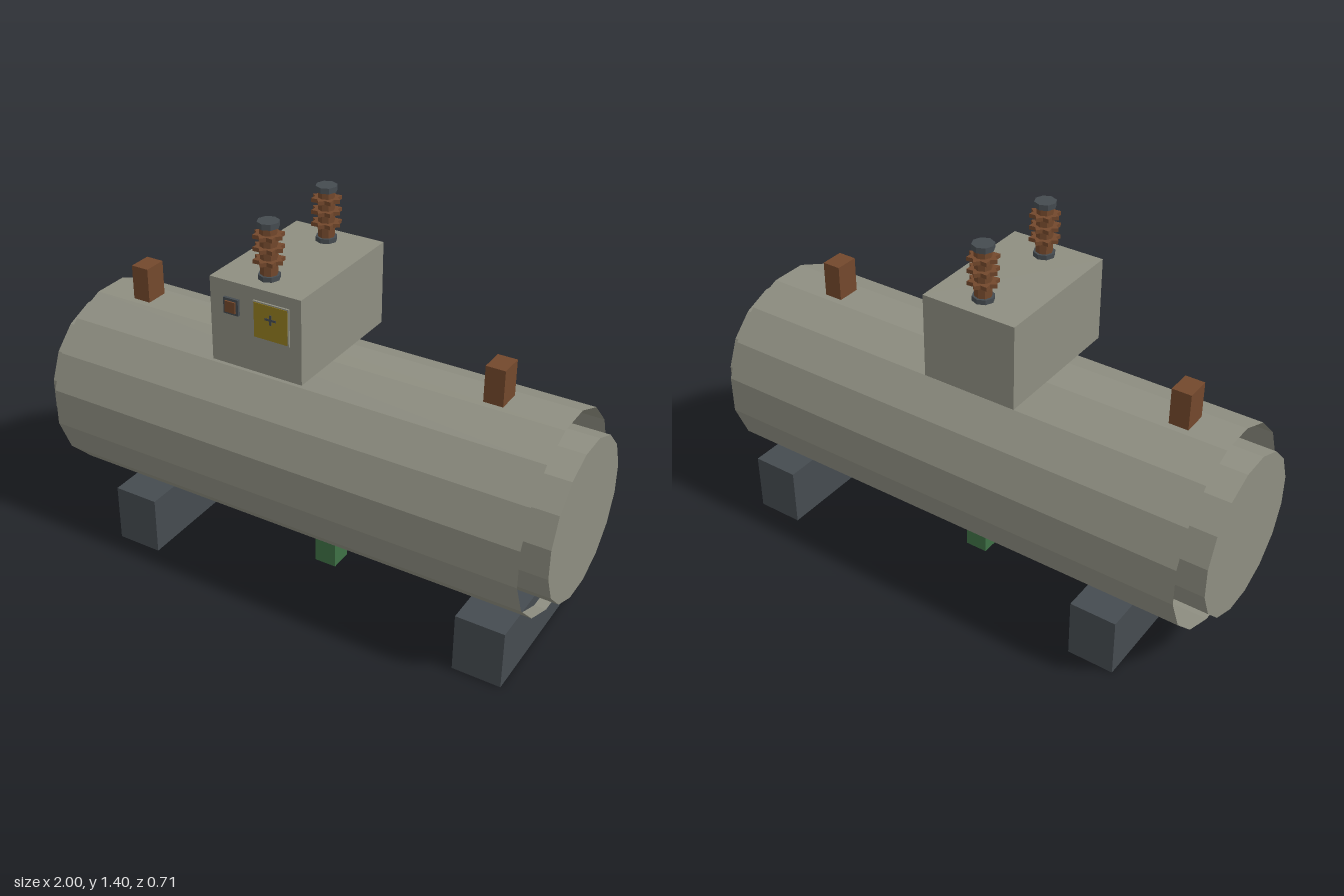
import * as THREE from 'three';

export function createModel() {
  const model = new THREE.Group();
  model.name = 'horizontalTank';

  const material = (name, color, side = THREE.FrontSide) =>
    new THREE.MeshStandardMaterial({ name, color, side, flatShading: true });
  const grey = material('tankGrey', 0x8e8e81);
  const greyShell = material('tankGreyShell', 0x8e8e81, THREE.DoubleSide);
  const slate = material('slate', 0x454b50);
  const brown = material('rustBrown', 0x73482c);
  const green = material('drainGreen', 0x3e7045);
  const yellow = material('signYellow', 0x937c20);

  const add = (name, geometry, mat, parent = model) => {
    const mesh = new THREE.Mesh(geometry, mat);
    mesh.name = name;
    parent.add(mesh);
    return mesh;
  };
  // Box given by its extents on each axis
  const box = (name, mat, [x0, x1], [y0, y1], [z0, z1]) =>
    add(name, new THREE.BoxGeometry(x1 - x0, y1 - y0, z1 - z0), mat)
      .position.set((x0 + x1) / 2, (y0 + y1) / 2, (z0 + z1) / 2);

  // Sixteen-sided tank lying along x: open outer shell and closed inner drum
  const drum = (name, radius, length, open, mat) => {
    const g = new THREE.CylinderGeometry(radius, radius, length, 16, 1, open);
    g.rotateY(Math.PI / 16).rotateZ(Math.PI / 2);
    add(name, g, mat).position.y = 0.534;
  };
  drum('outerShell', 0.361, 1.856, true, greyShell);
  drum('innerDrum', 0.288, 2, false, grey);

  // Support feet, lifting lugs and drain
  for (const x of [[-0.71, -0.535], [0.705, 0.885]]) box('foot', slate, x, [0, 0.224], [-0.31, 0.31]);
  for (const x of [[-0.78, -0.71], [0.635, 0.705]]) box('liftingLug', brown, x, [0.885, 1.02], [-0.045, 0.045]);
  box('drain', green, [0, 0.085], [0, 0.19], [-0.043, 0.043]);

  // Control box with sign and gauge on its front
  box('controlBox', grey, [-0.267, 0.087], [0.889, 1.198], [-0.265, 0.265]);
  box('signBacking', grey, [-0.094, 0.043], [1.02, 1.156], [0.265, 0.272]);
  box('signFace', yellow, [-0.09, 0.039], [1.026, 1.152], [0.272, 0.274]);
  box('signMarkBar', slate, [-0.046, -0.004], [1.098, 1.106], [0.274, 0.276]);
  box('signMarkPost', slate, [-0.029, -0.021], [1.084, 1.12], [0.274, 0.2765]);
  box('gaugeFrame', slate, [-0.209, -0.151], [1.082, 1.14], [0.265, 0.275]);
  box('gaugeFace', brown, [-0.2, -0.16], [1.091, 1.131], [0.275, 0.281]);

  // Eight-pointed insulator disc
  const star = new THREE.Shape(Array.from({ length: 16 }, (_, i) => {
    const r = i % 2 ? 0.039 : 0.054;
    const a = (i * Math.PI) / 8;
    return new THREE.Vector2(r * Math.cos(a), r * Math.sin(a));
  }));
  const discGeometry = new THREE.ExtrudeGeometry(star, { depth: 0.014, bevelEnabled: false });
  discGeometry.translate(0, 0, -0.007).rotateX(-Math.PI / 2);

  // Pair of insulated bushings
  for (const z of [-0.178, 0.178]) {
    const bushing = new THREE.Group();
    bushing.name = 'bushing';
    bushing.position.set(-0.09, 1.198, z);
    model.add(bushing);
    const barrel = (name, radius, y0, y1, mat) =>
      add(name, new THREE.CylinderGeometry(radius, radius, y1 - y0, 8), mat, bushing).position.y = (y0 + y1) / 2;
    barrel('bushingBase', 0.038, 0, 0.017, slate);
    barrel('bushingCore', 0.03, 0.017, 0.182, brown);
    barrel('bushingCap', 0.038, 0.182, 0.202, slate);
    for (const y of [0.065, 0.109, 0.152]) add('insulatorDisc', discGeometry, brown, bushing).position.y = y;
  }

  return model;
}
